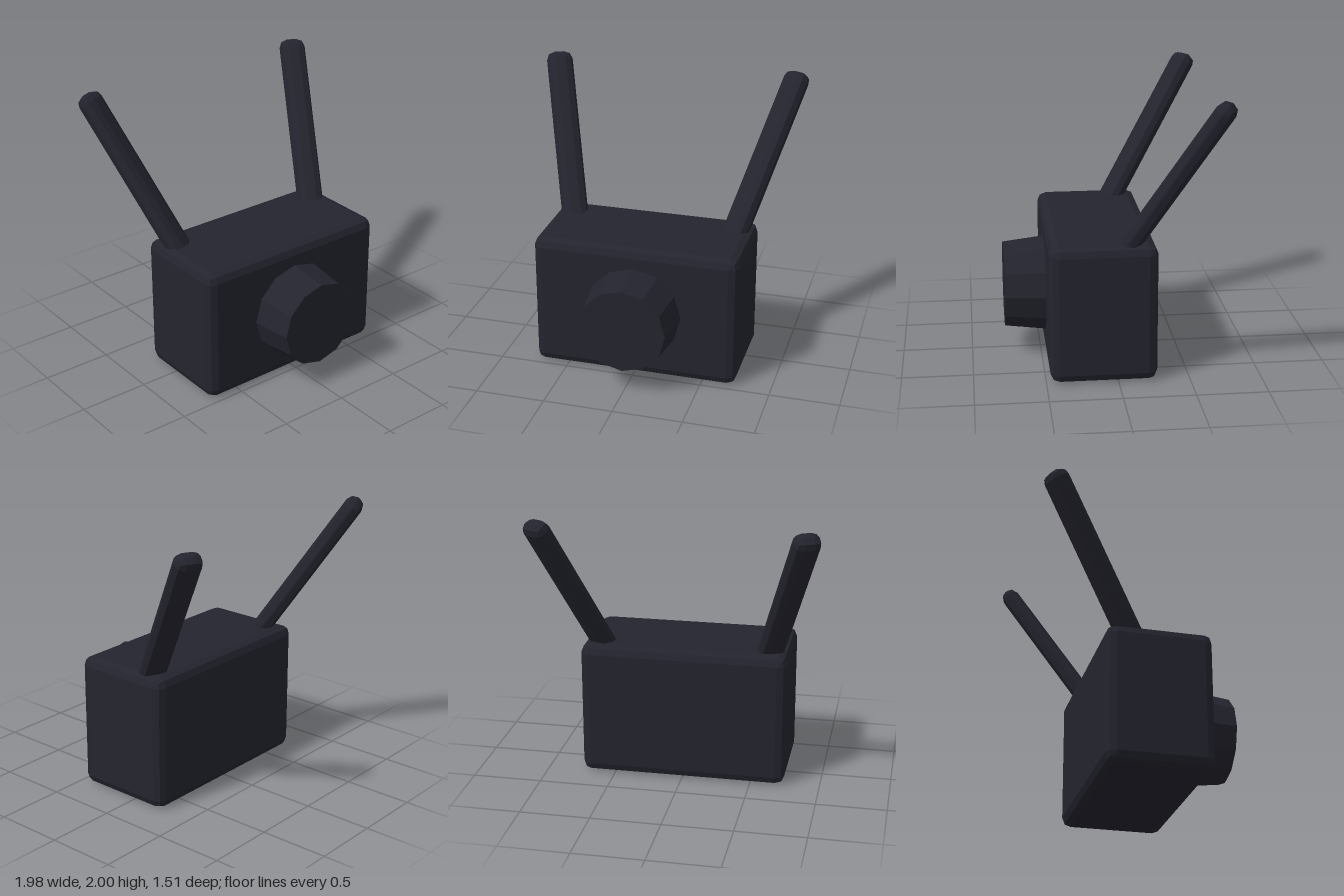
import * as THREE from 'three';
import { RoundedBoxGeometry } from 'three/addons/geometries/RoundedBoxGeometry.js';

// Bevelled box with flat facets (two-step bevel on every edge)
function bevelBox(w, h, d, r) {
  const box = new RoundedBoxGeometry(w, h, d, 1, r);
  const g = box.index ? box.toNonIndexed() : box;
  g.computeVertexNormals();
  return g;
}

export function createModel() {
  const group = new THREE.Group();
  const charcoal = new THREE.MeshStandardMaterial({ color: 0x24242f });
  charcoal.name = 'charcoal';

  const add = (name, geometry) => {
    const mesh = new THREE.Mesh(geometry, charcoal);
    mesh.name = name;
    group.add(mesh);
    return mesh;
  };

  // Body
  add('body', bevelBox(1.49, 0.98, 0.745, 0.065)).position.set(0, 0.49, 0.0975);

  // Tapered twelve-sided lens barrel, sunk slightly into the body
  const barrel = new THREE.CylinderGeometry(0.31, 0.353, 0.36, 12).toNonIndexed();
  barrel.computeVertexNormals();
  barrel.rotateX(Math.PI / 2);
  add('lensBarrel', barrel).position.set(0, 0.495, 0.58);

  // Flattened antennas leaning outwards and back
  for (const side of [1, -1]) {
    const base = new THREE.Vector3(side * 0.575, 0.85, -0.022);
    const tip = new THREE.Vector3(side * 0.917, 1.987, -0.704);
    const axis = tip.clone().sub(base);
    const length = axis.length();
    axis.normalize();
    const across = new THREE.Vector3(-axis.z, 0, axis.x).normalize();
    const thick = across.clone().cross(axis);

    const antenna = add(side > 0 ? 'leftAntenna' : 'rightAntenna', bevelBox(0.193, length, 0.134, 0.06));
    antenna.quaternion.setFromRotationMatrix(new THREE.Matrix4().makeBasis(across, axis, thick));
    antenna.position.copy(base).add(tip).multiplyScalar(0.5);
  }

  return group;
}
